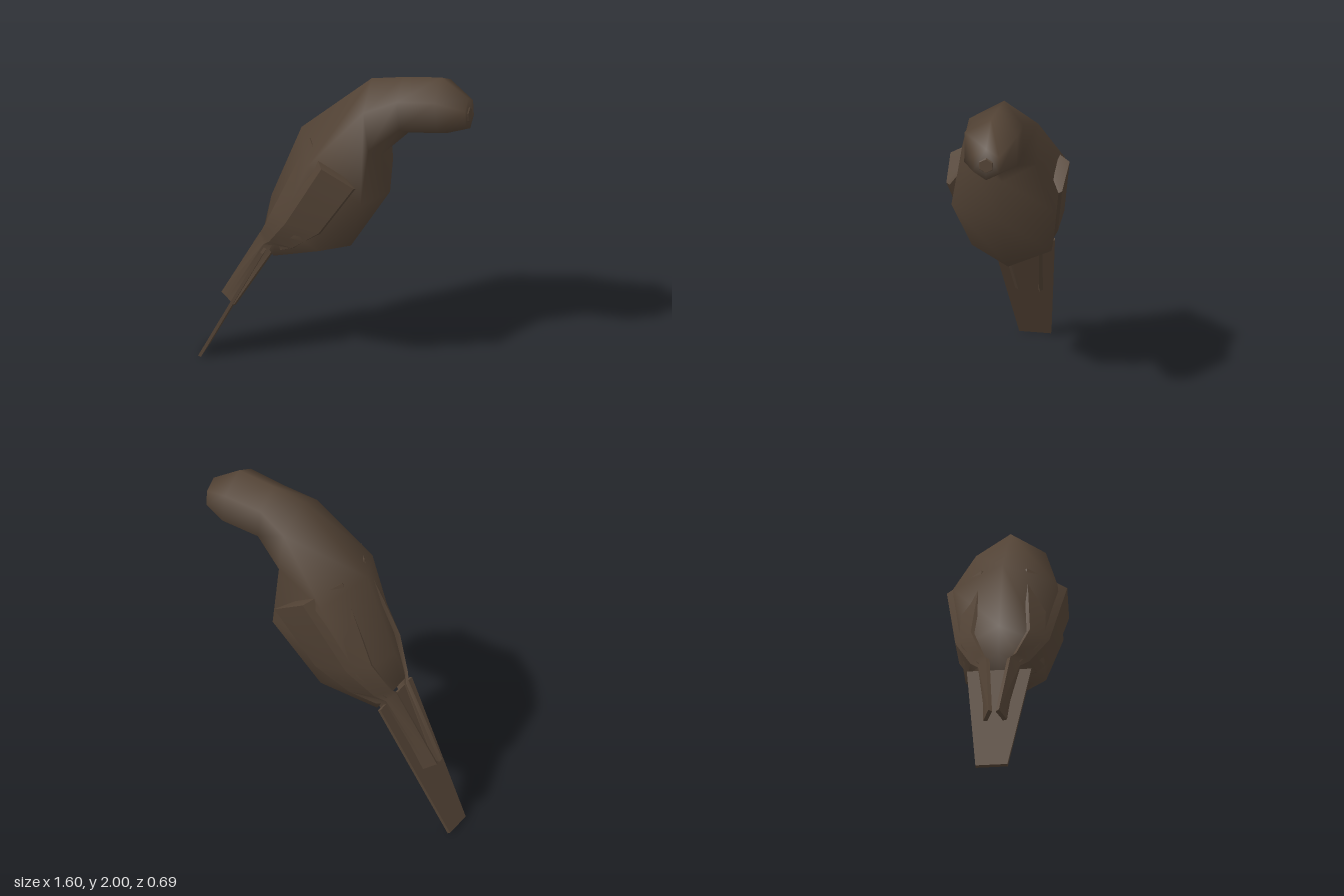
import * as THREE from 'three';
import { toCreasedNormals } from 'three/addons/utils/BufferGeometryUtils.js';

// Skin a list of closed rings (arrays of [x, y, z]) and cap both ends.
function loft(rings) {
  const n = rings[0].length, pos = rings.flat(2), idx = [];
  for (let r = 0; r < rings.length - 1; r++) {
    for (let i = 0; i < n; i++) {
      const a = r * n + i, b = r * n + (i + 1) % n;
      idx.push(a, b, a + n, b, b + n, a + n);
    }
  }
  const end = (rings.length - 1) * n;
  for (let i = 1; i < n - 1; i++) idx.push(0, i + 1, i, end, end + i, end + i + 1);

  // Turn the faces outward if the enclosed volume is negative.
  const v = k => new THREE.Vector3().fromArray(pos, k * 3);
  let volume = 0;
  for (let i = 0; i < idx.length; i += 3) volume += v(idx[i]).dot(v(idx[i + 1]).cross(v(idx[i + 2])));
  if (volume < 0) idx.reverse();

  const g = new THREE.BufferGeometry();
  g.setAttribute('position', new THREE.Float32BufferAttribute(pos, 3));
  g.setIndex(idx);
  g.computeVertexNormals();
  return g;
}

// Six-sided ring between a back point and a belly point.
function hexRing([tx, ty, bx, by, w, f1 = 0.25, f2 = 0.75]) {
  const at = (f, z) => [tx + (bx - tx) * f, ty + (by - ty) * f, z];
  return [at(0, 0), at(f1, w), at(f2, w), at(1, 0), at(f2, -w), at(f1, -w)];
}

export function createModel() {
  const group = new THREE.Group();
  const brown = new THREE.MeshStandardMaterial({ color: 0x544436 });
  brown.name = 'darkBrown';
  const add = (name, geometry) => {
    const mesh = new THREE.Mesh(geometry, brown);
    mesh.name = name;
    group.add(mesh);
  };

  // Body and head: back x, y, belly x, y, half width
  const body = [
    [-0.43, 0.88, -0.31, 0.70, 0.12],
    [-0.39, 1.07, 0.085, 0.82, 0.23],
    [-0.21, 1.54, 0.32, 1.21, 0.30, 0.25, 0.85],
    [0.21, 1.925, 0.27, 1.44, 0.20],
    [0.40, 1.965, 0.43, 1.61, 0.145],
    [0.625, 2.00, 0.66, 1.645, 0.152],
    [0.79, 1.89, 0.80, 1.70, 0.075],
  ];
  add('body', loft(body.map(hexRing)));

  // Short blunt beak base in the middle of the face
  const beak = [[0.78, 1.85, 0.78, 1.72, 0.055], [0.80, 1.83, 0.80, 1.745, 0.035]];
  add('beak', toCreasedNormals(loft(beak.map(hexRing)), 0.6));

  // Folded wings: rear edge, middle and front edge of each section
  const wing = [
    [[-0.12, 1.55, 0.13], [0.02, 1.48, 0.345], [0.21, 1.38, 0.335]],
    [[-0.33, 1.07, 0.17], [-0.22, 1.05, 0.27], [-0.02, 1.02, 0.27]],
    [[-0.42, 0.88, 0.10], [-0.35, 0.86, 0.17], [-0.20, 0.86, 0.20]],
    [[-0.44, 0.85, 0.07], [-0.40, 0.81, 0.12], [-0.35, 0.77, 0.12]],
    [[-0.68, 0.41, 0.03], [-0.635, 0.39, 0.055], [-0.59, 0.365, 0.08]],
  ];
  for (const [name, s] of [['leftWing', -1], ['rightWing', 1]]) {
    const rings = wing.map(row => [
      ...row.map(([x, y, z]) => [x, y, z * s]),
      ...row.map(([x, y, z]) => [x + 0.005, y - 0.01, (z - 0.02) * s]).reverse(),
    ]);
    add(name, toCreasedNormals(loft(rings), 0.6));
  }

  // Flat tapering tail
  const tailRing = (x, y, w) => [
    [x - 0.008, y + 0.004, w], [x + 0.008, y - 0.004, w],
    [x + 0.008, y - 0.004, -w], [x - 0.008, y + 0.004, -w],
  ];
  add('tail', toCreasedNormals(loft([tailRing(-0.39, 0.785, 0.185), tailRing(-0.792, 0.004, 0.092)]), 0.5));

  return group;
}
